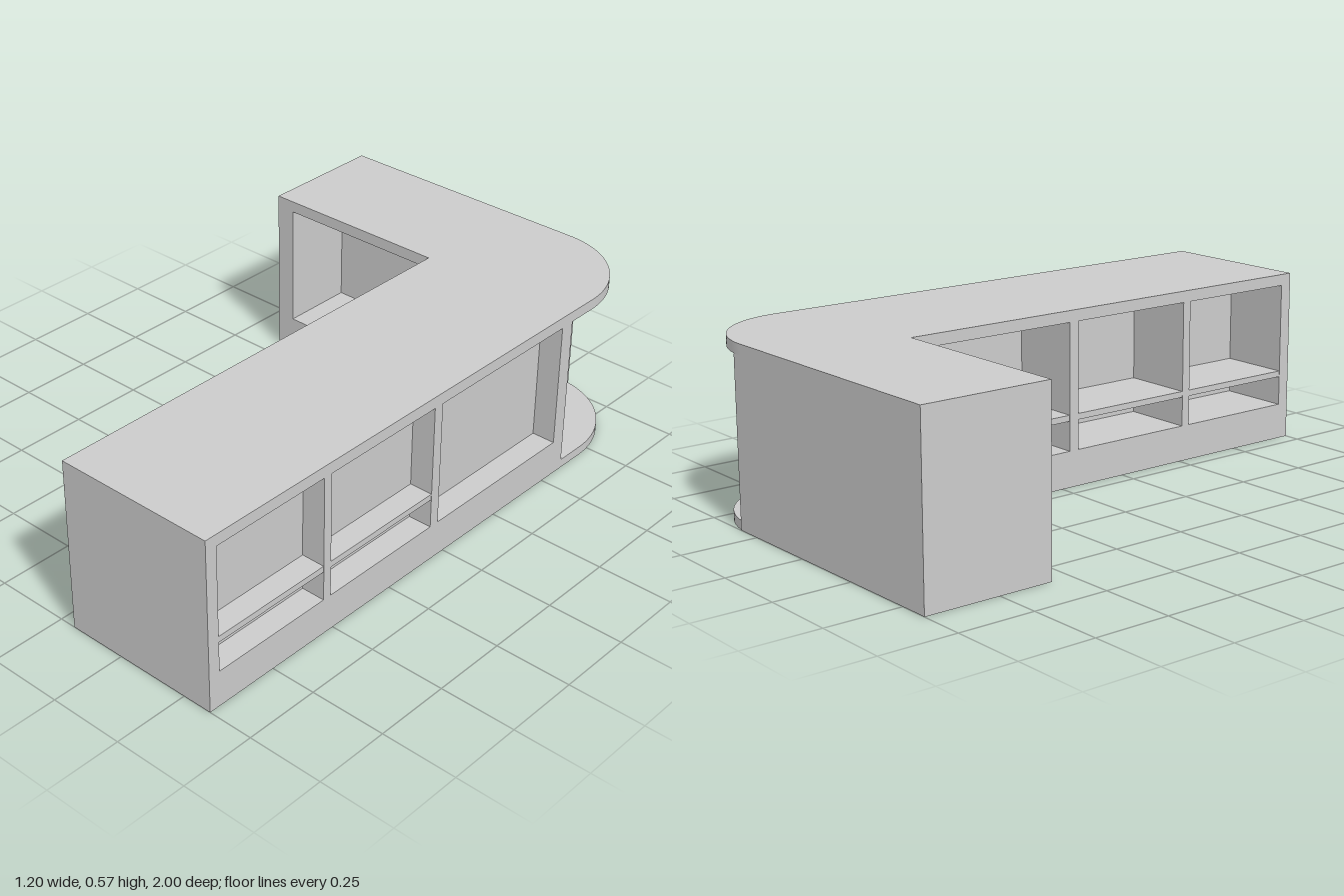
import * as THREE from 'three';
import { toCreasedNormals } from 'three/addons/utils/BufferGeometryUtils.js';

const mat = new THREE.MeshStandardMaterial({ color: 0xcccccc, side: THREE.DoubleSide });
const TOP = 0.575, PLATE = 0.035;
const BAY_Y = [0.12, 0.537], SHELF_Y = [0.218, 0.238];
const BAYS = [[0.54, 0.96], [0.065, 0.51], [-0.55, 0.03]]; // z ranges along the long counter

function add(group, name, geometry) {
  const mesh = new THREE.Mesh(geometry, mat);
  mesh.name = name;
  group.add(mesh);
  return mesh;
}

function rect(path, u0, u1, y0, y1) {
  path.moveTo(u0, y0);
  path.lineTo(u1, y0);
  path.lineTo(u1, y1);
  path.lineTo(u0, y1);
  path.closePath();
  return path;
}

// Thin upright wall in the plane axis = at, running from a to b, with bay openings
function wall(group, name, axis, at, a, b, openings = []) {
  const span = (p, q) => (axis === 'x' ? [-q, -p] : [p, q]);
  const shape = rect(new THREE.Shape(), ...span(a, b), 0, TOP - PLATE);
  for (const [p, q] of openings) shape.holes.push(rect(new THREE.Path(), ...span(p, q), ...BAY_Y));
  const geo = new THREE.ShapeGeometry(shape);
  if (axis === 'x') geo.rotateY(Math.PI / 2);
  add(group, name, geo).position[axis] = at;
}

// Box given by its limits; openFace (0..5 = +x -x +y -y +z -z) is left out
function box(group, name, [x0, x1], [y0, y1], [z0, z1], openFace = -1) {
  const geo = new THREE.BoxGeometry(x1 - x0, y1 - y0, z1 - z0);
  if (openFace >= 0) {
    geo.setIndex([...geo.index.array].filter((_, i) => Math.floor(i / 6) !== openFace));
    geo.clearGroups();
  }
  add(group, name, geo).position.set((x0 + x1) / 2, (y0 + y1) / 2, (z0 + z1) / 2);
}

// Horizontal plate from a plan outline drawn in (x, -z)
function plate(group, name, shape, y, thickness) {
  const geo = new THREE.ExtrudeGeometry(shape, { depth: thickness, bevelEnabled: false, curveSegments: 24 });
  geo.rotateX(-Math.PI / 2);
  add(group, name, toCreasedNormals(geo, 0.5)).position.y = y;
}

export function createModel() {
  const model = new THREE.Group();
  model.name = 'cornerCounter';

  // L-shaped countertop with a rounded outer corner
  const top = new THREE.Shape();
  top.moveTo(0.055, -1);
  top.lineTo(0.6, -1);
  top.lineTo(0.6, 0.7);
  top.absarc(0.3, 0.7, 0.3, 0, Math.PI / 2);
  top.lineTo(-0.6, 1);
  top.lineTo(-0.6, 0.57);
  top.lineTo(0.055, 0.57);
  top.closePath();
  plate(model, 'countertop', top, TOP - PLATE, PLATE);

  // Rounded floor of the open corner niche
  const foot = new THREE.Shape();
  foot.moveTo(0.34, 0.6);
  foot.lineTo(0.6, 0.6);
  foot.lineTo(0.6, 0.7);
  foot.absarc(0.3, 0.7, 0.3, 0, Math.acos(0.04 / 0.3));
  foot.closePath();
  plate(model, 'cornerFloor', foot, 0, 0.03);

  // Carcass walls, open underneath
  wall(model, 'outerWall', 'x', 0.6, -0.6, 1, BAYS);
  wall(model, 'innerWall', 'x', 0.055, -0.57, 1, BAYS);
  wall(model, 'frontEnd', 'z', 1, 0.055, 0.6);
  wall(model, 'returnFront', 'z', -0.57, -0.6, 0.055, [[-0.535, 0.03]]);
  wall(model, 'returnEnd', 'x', -0.6, -1, -0.57);
  wall(model, 'backWall', 'z', -0.999, -0.6, 0.34);
  wall(model, 'nicheSide', 'x', 0.34, -0.999, -0.6);
  wall(model, 'nicheBack', 'z', -0.6, 0.34, 0.6);

  // Shallow display bays outside, deeper shelved bays inside
  BAYS.forEach((z, i) => {
    box(model, 'displayBay', [0.52, 0.6], BAY_Y, z, 0);
    box(model, 'storageBay', [0.055, 0.3], BAY_Y, z, 1);
    box(model, 'storageShelf', [0.056, 0.3], SHELF_Y, z);
    if (i < 2) box(model, 'displayShelf', [0.52, 0.599], SHELF_Y, z);
  });

  // Bay in the short return
  box(model, 'returnBay', [-0.535, 0.03], BAY_Y, [-0.825, -0.57], 4);
  return model;
}
